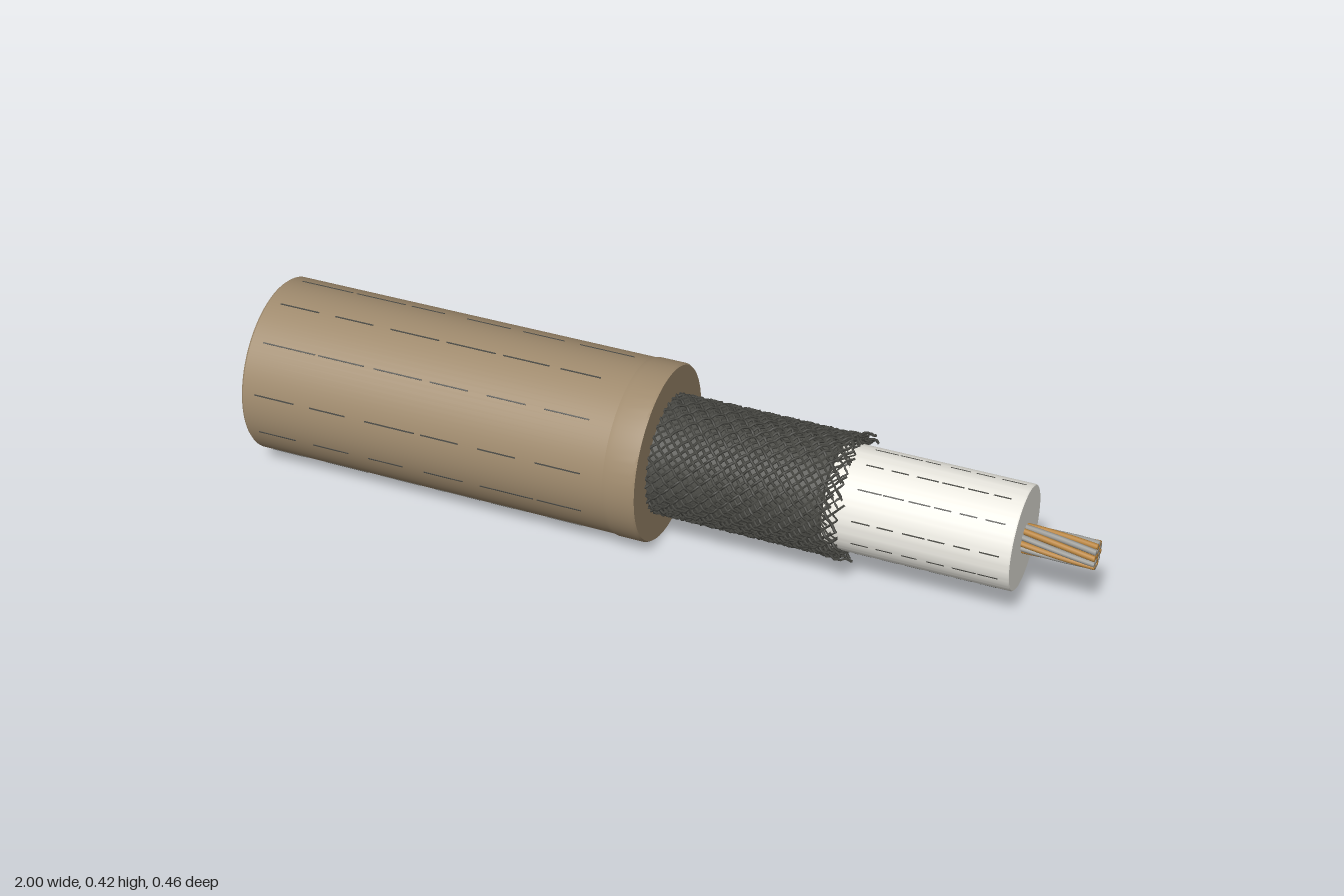
import * as THREE from 'three';
import { mergeGeometries, toCreasedNormals } from 'three/addons/utils/BufferGeometryUtils.js';

const TAU = Math.PI * 2;
const material = (color) => new THREE.MeshStandardMaterial({ color });

// Solid of revolution along +x from [x, radius] pairs
function turned(profile, segments = 96) {
  const points = profile.map(([x, r]) => new THREE.Vector2(r, x));
  const geometry = new THREE.LatheGeometry(points, segments).rotateZ(-Math.PI / 2);
  return toCreasedNormals(geometry, 0.6);
}

// Point on a cylinder around the x axis
const around = (x, r, a) => new THREE.Vector3(x, r * Math.cos(a), r * Math.sin(a));

// Round wire following a function of t in 0..1
function wire(at, count, radius, steps, sides) {
  const points = Array.from({ length: count + 1 }, (_, i) => at(i / count));
  return new THREE.TubeGeometry(new THREE.CatmullRomCurve3(points), steps, radius, sides);
}

// Repeatable variation in 0..1
const vary = (i) => { const s = Math.sin(i * 12.9898 + 4.1) * 43758.5453; return s - Math.floor(s); };

export function createModel() {
  const model = new THREE.Group();
  const cable = new THREE.Group();
  cable.name = 'cable';
  cable.position.set(-0.007, 0.211, 0.018);
  cable.rotation.y = -0.043;
  model.add(cable);

  const add = (name, geometry, mat) => {
    const mesh = new THREE.Mesh(geometry, mat);
    mesh.name = name;
    cable.add(mesh);
  };

  const brown = material(0xa08b6e), white = material(0xeeece4), dark = material(0x4b4b46);
  const copper = material(0xb9853f), tin = material(0x9a9a96);

  // Outer jacket and the slightly wider collar at its cut end
  add('jacket', turned([[-0.985, 0], [-0.985, 0.203], [-0.98, 0.207], [-0.05, 0.207]]), brown);
  add('jacketCollar', turned([[-0.082, 0.206], [-0.065, 0.2095], [-0.006, 0.2095],
    [0, 0.206], [0, 0.125]]), brown);

  // White insulation
  add('insulation', turned([[-0.02, 0.121], [0.839, 0.121], [0.842, 0.119], [0.842, 0]]), white);

  // Fine broken lines lying along a cylinder
  function surfaceLines(name, x0, x1, radius, count, mat) {
    const parts = [];
    for (let i = 0; i < count; i++) {
      const a = (i + 0.3 + 0.35 * vary(i)) / count * TAU;
      const dashes = 6, step = (x1 - x0) / dashes;
      for (let j = 0; j < dashes; j++) {
        const length = step * (0.55 + 0.4 * vary(i * 7 + j));
        const dash = new THREE.BoxGeometry(length, 0.0024, 0.003);
        dash.translate(x0 + j * step + length / 2, radius, 0).rotateX(a);
        parts.push(dash);
      }
    }
    add(name, mergeGeometries(parts), mat);
  }
  surfaceLines('jacketLines', -0.95, -0.1, 0.207, 12, dark);
  surfaceLines('insulationLines', 0.48, 0.83, 0.1205, 12, dark);

  // Braided shield: dense backing with two sets of interwoven spiral wires
  add('shieldBacking', turned([[-0.02, 0.133], [0.408, 0.133], [0.412, 0.122]], 64), dark);
  const braid = [];
  const strands = 36;
  for (const dir of [1, -1]) {
    for (let i = 0; i < strands; i++) {
      const end = 0.425 + 0.04 * vary(i + dir * 50);
      const flare = 0.012 * vary(i * 3 + dir * 20);
      braid.push(wire((t) => {
        const x = -0.01 + t * (end + 0.01);
        const turn = x * 7.5;
        const weave = dir * 0.003 * Math.cos(turn * strands + i * Math.PI);
        const fray = flare * Math.max(0, (x - 0.4) / 0.06);
        return around(x, 0.1375 + weave + fray, dir * turn + i / strands * TAU);
      }, 72, 0.0034, 90, 4));
    }
  }
  // Wavy loops that link the loosened wires at the cut edge
  for (let k = 0; k < 4; k++) {
    braid.push(wire((t) => around(0.402 + k * 0.014 + 0.006 * Math.cos(t * TAU * 30 + k * Math.PI),
      0.132 + 0.003 * Math.sin(t * TAU * 15 + k), t * TAU), 120, 0.0024, 180, 4));
  }
  add('braidedShield', mergeGeometries(braid), dark);

  // Twisted conductor: centre strand with two rings, copper and tinned
  const copperParts = [], tinParts = [];
  [[1, 0], [6, 0.0135], [12, 0.0272]].forEach(([count, ring], layer) => {
    for (let i = 0; i < count; i++) {
      const angle = (t) => i / count * TAU + layer * 0.13 + t * 1.0;
      const strand = wire((t) => around(0.82 + 0.186 * t, ring, angle(t)), 8, 0.0069, 16, 10);
      const tip = around(1.006, ring, angle(1));
      const cap = new THREE.SphereGeometry(0.0069, 10, 8).scale(0.25, 1, 1).translate(tip.x, tip.y, tip.z);
      (i % 2 ? tinParts : copperParts).push(strand, cap);
    }
  });
  add('copperStrands', mergeGeometries(copperParts), copper);
  add('tinnedStrands', mergeGeometries(tinParts), tin);

  return model;
}
